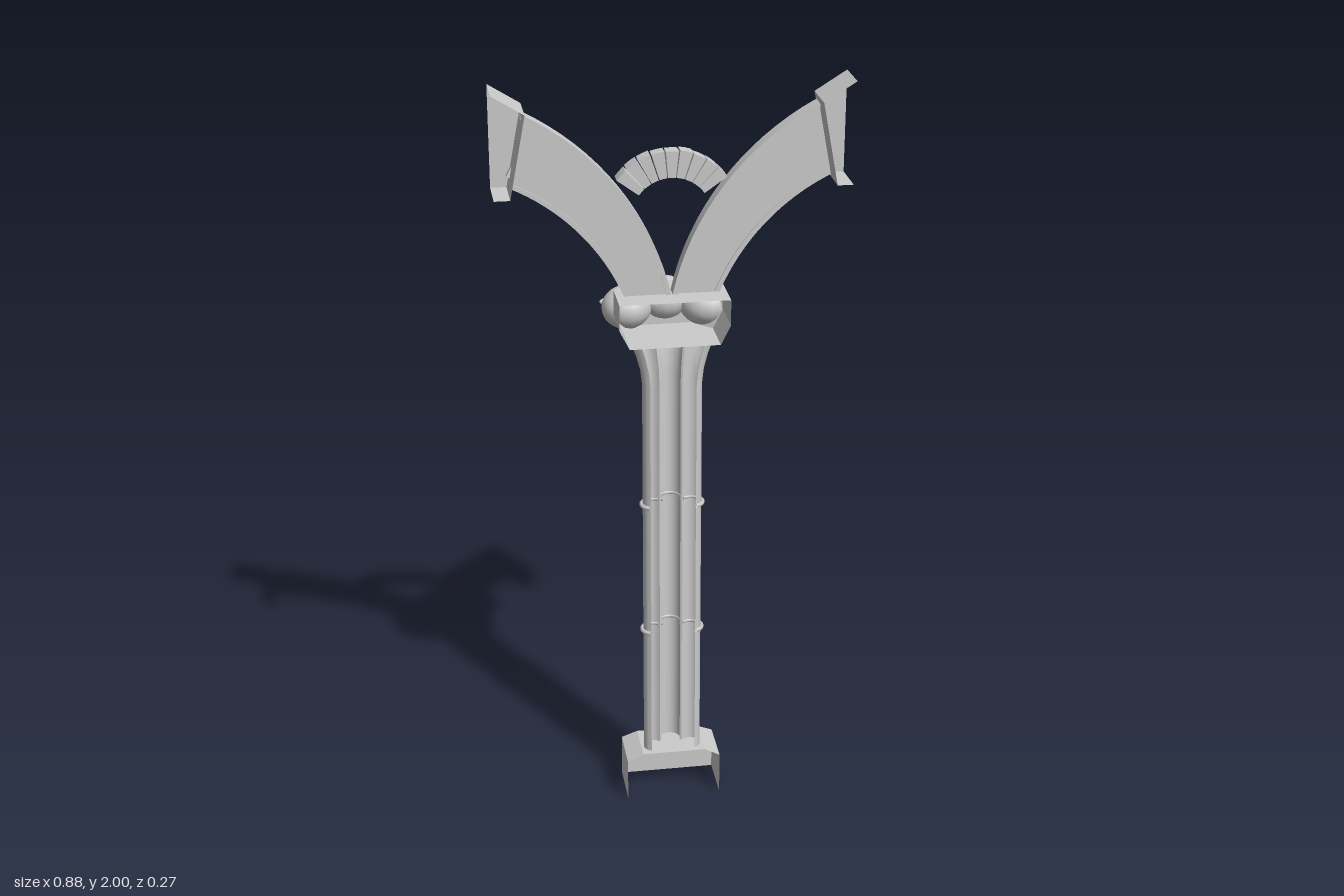
import * as THREE from 'three';
import { toCreasedNormals } from 'three/addons/utils/BufferGeometryUtils.js';

const mat = new THREE.MeshStandardMaterial({ color: 0xcccccc, side: THREE.DoubleSide });

function add(parent, name, geometry) {
  const mesh = new THREE.Mesh(geometry, mat);
  mesh.name = name;
  parent.add(mesh);
  return mesh;
}

// Skin stretched over open rows of points, creased at sharp corners
function loft(rows, crease = 0.6) {
  const n = rows[0].length, index = [];
  for (let r = 0; r < rows.length - 1; r++)
    for (let i = 0; i < n - 1; i++) {
      const a = r * n + i, b = a + 1, c = a + n, d = c + 1;
      index.push(a, b, c, b, d, c);
    }
  const g = new THREE.BufferGeometry();
  g.setAttribute('position', new THREE.Float32BufferAttribute(rows.flat(2), 3));
  g.setIndex(index);
  return toCreasedNormals(g, crease);
}

// Polygon in x, y extruded from z0 to z1
function slab(points, z0, z1) {
  const shape = new THREE.Shape(points.map(p => new THREE.Vector2(p[0], p[1])));
  const g = new THREE.ExtrudeGeometry(shape, { depth: z1 - z0, bevelEnabled: false });
  return toCreasedNormals(g.translate(0, 0, z0), 0.5);
}

let seed = 7;
const rand = () => (seed = (seed * 16807) % 2147483647) / 2147483647;

const polar = (cx, cy, r, a) => [cx + r * Math.cos(a), cy + r * Math.sin(a)];
const deg = Math.PI / 180;

// Three-lobed shaft outline in x, z, open toward the wall
function trefoil(grow = 0) {
  const pts = [];
  const arc = (cx, cz, r, a0, a1) => {
    for (let i = 0; i <= 10; i++)
      pts.push(polar(cx, cz, r + grow, (a0 + (a1 - a0) * i / 10) * deg));
  };
  arc(-0.05, 0.08, 0.027, 110, 318);
  arc(0, 0.048, 0.028, 155, 385);
  arc(0.05, 0.08, 0.027, 222, 430);
  return pts;
}

function band(cx, cy, edges, steps) {
  // edges: [radius start, radius end, angle start, angle end] for outer and inner
  const side = ([r0, r1, a0, a1]) => Array.from({ length: steps + 1 }, (_, i) => {
    const t = i / steps;
    return polar(cx, cy, r0 + (r1 - r0) * t, (a0 + (a1 - a0) * t) * deg);
  });
  return [...side(edges[0]), ...side(edges[1]).reverse()];
}

function makeArm() {
  const arm = new THREE.Group();
  const cx = 0.684, cy = 1.302;
  const outer = [0.70, 0.71, 167, 117], inner = [0.585, 0.535, 164.4, 122.5];
  const shrink = (e, d) => [e[0] + d, e[1] + d, e[2], e[3]];
  add(arm, 'archPanel', slab(band(cx, cy, [outer, inner], 16), 0.045, 0.072));
  add(arm, 'outerRim', slab(band(cx, cy, [outer, shrink(outer, -0.012)], 16), 0.04, 0.076));
  add(arm, 'innerRim', slab(band(cx, cy, [shrink(inner, 0.012), inner], 16), 0.04, 0.076));

  // Uneven thin stones on the back of the arch
  const count = 19;
  for (let i = 0; i < count; i++) {
    const t = (i + 0.5) / count;
    const a = (163.5 - 43 * t) * deg;
    const rIn = 0.592 - 0.045 * t, rOut = 0.69 + 0.008 * t;
    const length = (rOut - rIn) * (0.88 + 0.12 * rand());
    const depth = 0.022 + 0.013 * rand();
    const stone = add(arm, 'archStone', new THREE.BoxGeometry(length, 0.017 + 0.008 * rand(), depth));
    const [x, y] = polar(cx, cy, (rIn + rOut) / 2, a);
    stone.position.set(x, y, 0.048 - depth / 2);
    stone.rotation.set((rand() - 0.5) * 0.5, (rand() - 0.5) * 0.12, a + (rand() - 0.5) * 0.2);
  }

  // Half keystone, open to the front and to the outside
  const outline = [[0.44, 2], [0.36, 1.95], [0.4, 1.742], [0.44, 1.742]];
  const row = z => outline.map(([x, y]) => [x, y, z]);
  add(arm, 'keystoneShell', loft([row(0.135), row(0.025)], 0.2));
  const back = new THREE.ShapeGeometry(new THREE.Shape(outline.map(p => new THREE.Vector2(...p))));
  add(arm, 'keystoneBack', back.translate(0, 0, 0.025));
  return arm;
}

function makeHead() {
  const head = new THREE.Group();
  head.name = 'carvedHead';
  add(head, 'skull', new THREE.SphereGeometry(1, 16, 12)).scale.set(0.066, 0.056, 0.063);
  const nose = add(head, 'nose', new THREE.ConeGeometry(0.011, 0.026, 6));
  nose.position.set(0, -0.012, -0.062);
  nose.rotation.x = -0.5;
  const chin = add(head, 'chin', new THREE.SphereGeometry(0.024, 10, 8));
  chin.position.set(0, -0.038, -0.038);
  for (const s of [-1, 1]) {
    const brow = add(head, 'brow', new THREE.SphereGeometry(0.013, 8, 6));
    brow.scale.set(1.4, 0.6, 0.8);
    brow.position.set(s * 0.024, 0.006, -0.056);
  }
  return head;
}

export function createModel() {
  const model = new THREE.Group();
  model.name = 'archColumn';

  // Plinth: three walls and a bevelled top, open at the front
  const u = (x, y, back, front = 0.12) => [[-x, y, front], [-x, y, back], [x, y, back], [x, y, front]];
  add(model, 'plinth', loft([u(0.127, 0, -0.01), u(0.127, 0.118, -0.01),
    u(0.085, 0.14, 0), u(0.085, 0.14, 0.12)], 0.2));

  // Clustered shaft flaring below the capital
  const lobes = trefoil();
  const flare = [[0.14, 1], [1.22, 1], [1.26, 1.06], [1.3, 1.2], [1.34, 1.4]];
  add(model, 'shaft', loft(flare.map(([y, s]) =>
    lobes.map(([x, z]) => [x * s, y, 0.105 + (z - 0.105) * (1 + (s - 1) * 0.4)])), 0.7));

  // Thin rings following the shaft
  for (const y of [0.51, 0.882]) {
    const path = new THREE.CatmullRomCurve3(trefoil(0.003).map(([x, z]) => new THREE.Vector3(x, y, z)));
    add(model, 'shaftRing', new THREE.TubeGeometry(path, 60, 0.006, 6));
  }

  // Capital, open at the front
  const plan = [[-0.14, 0.135], [-0.14, 0.02], [-0.08, -0.03], [0.08, -0.03], [0.14, 0.02], [0.14, 0.135]];
  const planRow = (y, sx) => plan.map(([x, z]) => [x * sx, y, z]);
  const flat = (y, sx) => plan.map(([x]) => [x * sx, y, 0.135]);
  add(model, 'capital', loft([flat(1.34, 0.82), planRow(1.34, 0.82), planRow(1.39, 1),
    planRow(1.458, 1), flat(1.458, 1)], 0.2));

  // Carved heads on the back of the capital
  for (const s of [-1, 0, 1]) {
    const head = makeHead();
    head.position.set(s * 0.1, s ? 1.39 : 1.4, s ? -0.035 : -0.065);
    head.rotation.y = -s * 0.6;
    model.add(head);
  }

  // Two mirrored arch arms
  const arm = makeArm();
  arm.name = 'leftArm';
  const other = arm.clone();
  other.name = 'rightArm';
  other.scale.x = -1;
  model.add(arm, other);

  // Small bridging arch of separate wedges
  const n = 9;
  for (let i = 0; i < n; i++) {
    const a0 = 35 + 110 * i / n, a1 = 35 + 110 * (i + 1) / n - 1.2;
    const r = 0.167 + 0.004 * rand();
    add(model, 'smallArchStone',
      slab(band(0, 1.66, [[r, r, a0, a1], [0.1, 0.1, a0, a1]], 2), 0.026 + 0.01 * rand(), 0.07));
  }
  return model;
}
